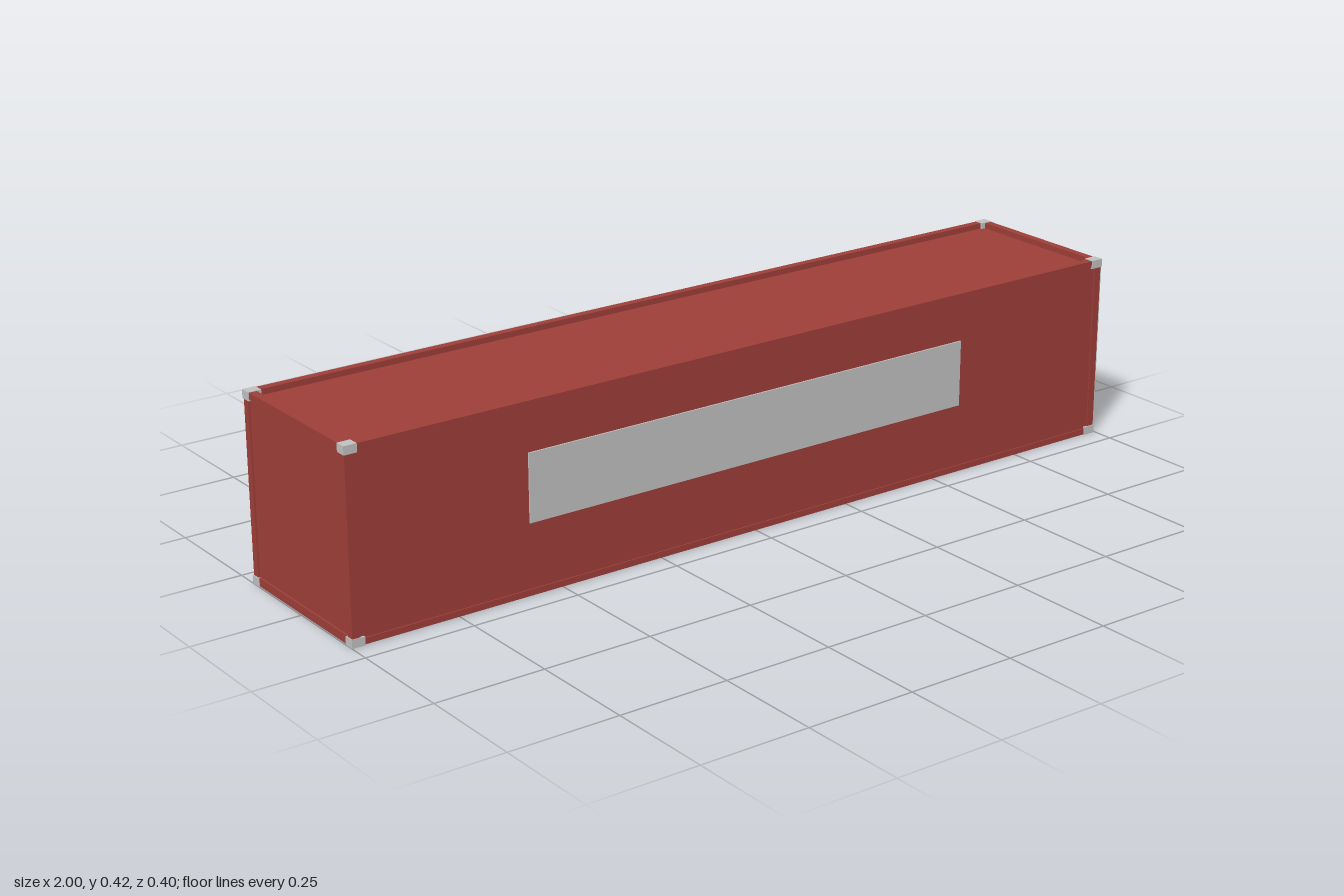
import * as THREE from 'three';

export function createModel() {
  const model = new THREE.Group();
  const red = new THREE.MeshStandardMaterial({ color: 0x9d3e38 });
  red.name = 'red paint';
  const grey = new THREE.MeshStandardMaterial({ color: 0xbfbfbf });
  grey.name = 'light grey';

  // Box given by its lowest and highest corner
  function box(name, material, [x0, y0, z0], [x1, y1, z1]) {
    const mesh = new THREE.Mesh(new THREE.BoxGeometry(x1 - x0, y1 - y0, z1 - z0), material);
    mesh.position.set((x0 + x1) / 2, (y0 + y1) / 2, (z0 + z1) / 2);
    mesh.name = name;
    model.add(mesh);
  }

  const X0 = -1, X1 = 0.996, H = 0.424, Z = 0.2; // outer limits of the frame
  const inset = 0.002, bar = 0.018;              // frame bars sit just inside the corner blocks

  // Recessed roof and walls; the underside is open
  box('roof', red, [X0 + 0.01, 0.402, -0.19], [X1 - 0.01, 0.41, 0.19]);
  box('leftoverEndWall', red, [X0 + 0.006, 0.01, -0.19], [X0 + 0.012, 0.41, 0.19]);
  box('doorEndWall', red, [X1 - 0.012, 0.01, -0.19], [X1 - 0.006, 0.41, 0.19]);
  box('doorPanel', grey, [X1 - 0.006, 0.02, -0.194], [1, 0.41, 0.194]);

  for (const s of [-1, 1]) {
    // z range from a to b on the front (s = 1) or back (s = -1)
    const zs = (a, b) => (s > 0 ? [a, b] : [-b, -a]);
    const [w0, w1] = zs(0.188, 0.195);
    box('sideWall', red, [X0 + 0.01, 0.01, w0], [X1 - 0.01, 0.41, w1]);
    const [p0, p1] = zs(0.195, 0.1985);
    box('sideStripe', grey, [-0.578, 0.16, p0], [0.572, 0.312, p1]);

    // Long rails and corner posts
    const [r0, r1] = zs(Z - inset - bar, Z - inset);
    box('bottomSideRail', red, [X0 + 0.02, 0.001, r0], [X1 - 0.02, 0.015, r1]);
    box('topSideRail', red, [X0 + 0.02, H - 0.016, r0], [X1 - 0.02, H - 0.001, r1]);
    for (const x of [X0 + inset, X1 - inset - bar]) {
      box('cornerPost', red, [x, 0.015, r0], [x + bar, H - 0.015, r1]);
    }

    // Corner blocks
    const [c0, c1] = zs(0.175, Z);
    for (const x of [X0, X1 - 0.03]) {
      for (const y of [0, H - 0.019]) {
        box('cornerBlock', grey, [x, y, c0], [x + 0.03, y + 0.019, c1]);
      }
    }
  }

  // Cross rails at both ends
  for (const x of [X0 + inset, X1 - inset - bar]) {
    box('bottomEndRail', red, [x, 0.001, -0.176], [x + bar, 0.02, 0.176]);
    box('topEndRail', red, [x, H - 0.016, -0.176], [x + bar, H - 0.001, 0.176]);
  }

  return model;
}
